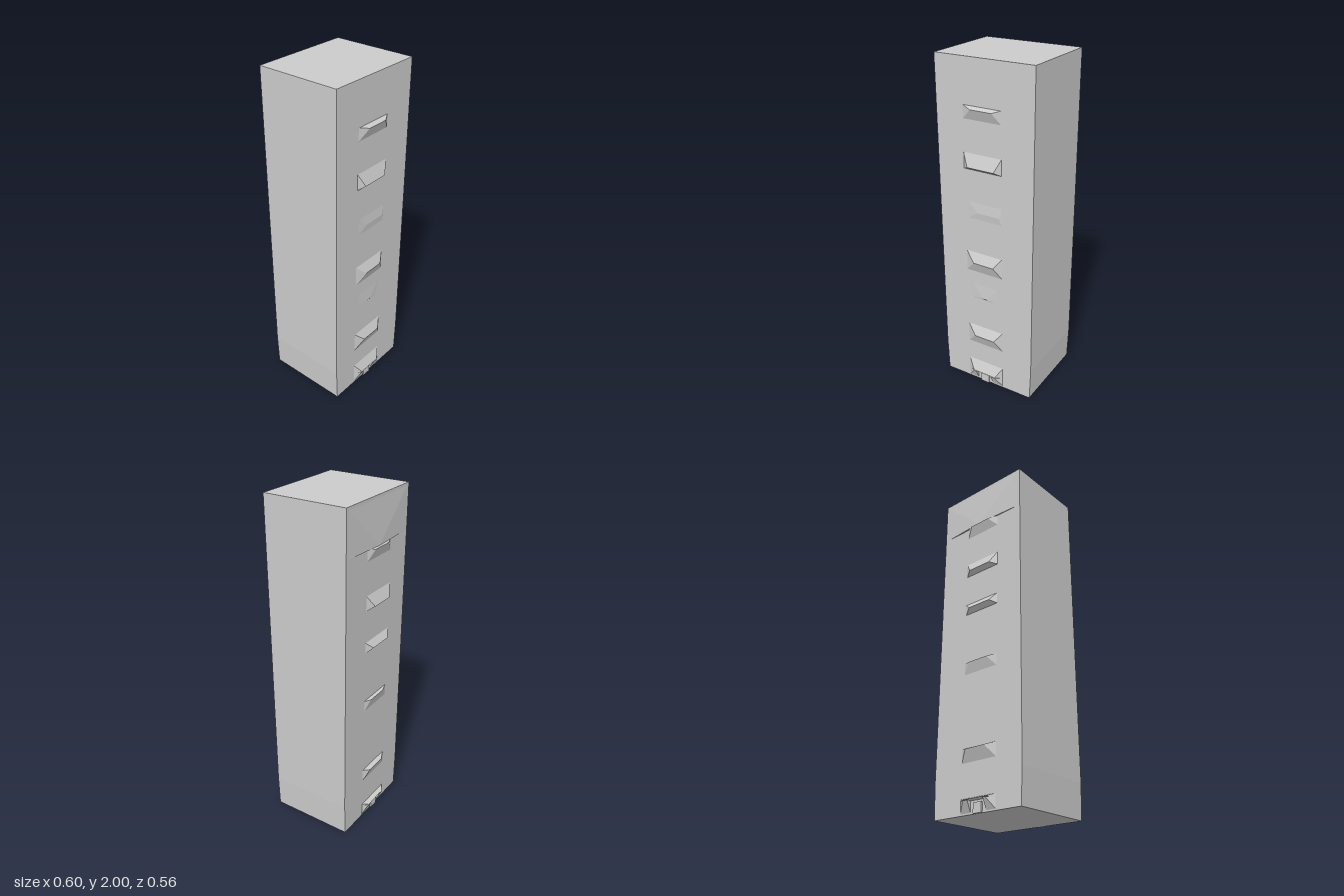
import * as THREE from 'three';
import { ConvexGeometry } from 'three/addons/geometries/ConvexGeometry.js';

const material = new THREE.MeshStandardMaterial({ color: 0xcccccc, flatShading: true });
const WALL = 0.25;
const X0 = -0.135, X1 = 0.108;

export function createModel() {
  const group = new THREE.Group();
  const add = (name, geometry) => {
    const mesh = new THREE.Mesh(geometry, material);
    mesh.name = name;
    group.add(mesh);
    return mesh;
  };
  const hull = (name, points) =>
    add(name, new ConvexGeometry(points.map(p => new THREE.Vector3(...p))));

  // Tower body, drawn in slightly towards the ground
  const body = new THREE.BoxGeometry(0.6, 2, 0.5, 1, 10, 1).translate(0, 1, 0);
  const pos = body.attributes.position;
  for (let i = 0; i < pos.count; i++) {
    if (pos.getY(i) < 0.1) pos.setX(i, pos.getX(i) * 0.977);
  }
  body.computeVertexNormals();
  add('towerBody', body);

  // Hipped ledge: a base rectangle on the wall rising to a level ridge
  const ledge = (name, side, y0, y1, ridgeY, depth, xa = -0.07, xb = 0.06) => {
    const z = side * (WALL - 0.002), zr = side * (WALL + depth);
    hull(name, [
      [X0, y0, z], [X1, y0, z], [X1, y1, z], [X0, y1, z],
      [xa, ridgeY, zr], [xb, ridgeY, zr],
    ]);
  };

  // Rows: base bottom, base top, ridge height, depth
  const frontRows = [
    [1.67, 1.75, 1.735, 0.024],
    [1.395, 1.495, 1.415, 0.027, -0.095, 0.07],
    [1.09, 1.23, 1.148, 0.005, -0.05, 0.09],
    [0.765, 0.9, 0.837, 0.026],
    [0.59, 0.73, 0.6, 0.004, -0.02, 0.0],
    [0.265, 0.4, 0.338, 0.028],
  ];
  const backRows = [
    [1.67, 1.745, 1.735, 0.022],
    [1.4, 1.49, 1.42, 0.029, -0.09, 0.06],
    [1.145, 1.215, 1.172, 0.026, -0.09, 0.06],
    [0.765, 0.84, 0.834, 0.018],
    [0.265, 0.35, 0.338, 0.026],
  ];
  frontRows.forEach(r => ledge('frontLedge', 1, ...r));
  backRows.forEach(r => ledge('backLedge', -1, ...r));

  // Entrances: a hood over two jambs with a small door in the recess
  for (const [side, top] of [[1, 0.145], [-1, 0.085]]) {
    const z = side * (WALL - 0.002), zr = side * (WALL + 0.028);
    ledge('entranceHood', side, 0.068, top, 0.074, 0.028, -0.085, 0.065);
    for (const [outer, ridge, inner] of [[X0, -0.085, -0.07], [X1, 0.065, 0.035]]) {
      hull('entranceJamb', [
        [outer, 0.005, z], [inner, 0.005, z], [outer, 0.07, z], [inner, 0.07, z],
        [ridge, 0.07, zr], [inner, 0.07, zr],
      ]);
    }
    add('entranceDoor', new THREE.BoxGeometry(0.055, 0.055, 0.012))
      .position.set(-0.017, 0.0285, side * 0.254);
  }

  // Shallow canopy sloping out from the roof edge on the back
  const zb = -WALL + 0.001;
  hull('backCanopy', [
    [-0.3, 2, zb], [0.3, 2, zb], [-0.3, 1.74, zb], [0.3, 1.74, zb],
    [0.01, 1.74, -0.264],
  ]);
  return group;
}
